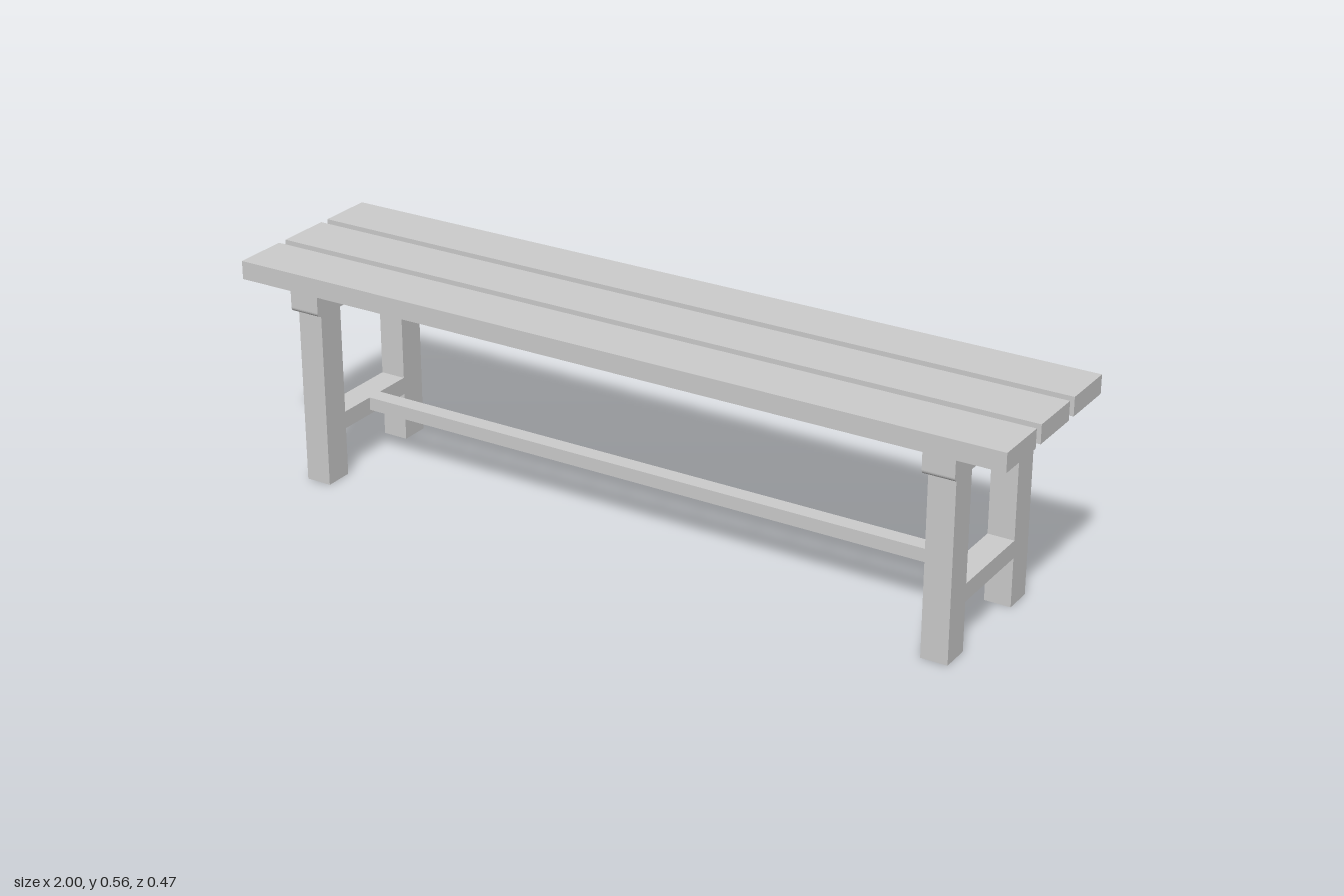
import * as THREE from 'three';

const material = new THREE.MeshStandardMaterial({ color: 0xcccccc, flatShading: true });

// Box given by its minimum and maximum on each axis
function addBox(parent, name, [x0, x1], [y0, y1], [z0, z1]) {
  const mesh = new THREE.Mesh(new THREE.BoxGeometry(x1 - x0, y1 - y0, z1 - z0), material);
  mesh.position.set((x0 + x1) / 2, (y0 + y1) / 2, (z0 + z1) / 2);
  mesh.name = name;
  parent.add(mesh);
}

// Seat bearer: rectangle with rounded lower corners, extruded along x
function bearerGeometry(halfDepth, y0, y1, radius, width) {
  const s = new THREE.Shape();
  s.moveTo(halfDepth, y1);
  s.lineTo(-halfDepth, y1);
  s.lineTo(-halfDepth, y0 + radius);
  s.absarc(-halfDepth + radius, y0 + radius, radius, Math.PI, Math.PI * 1.5, false);
  s.lineTo(halfDepth - radius, y0);
  s.absarc(halfDepth - radius, y0 + radius, radius, Math.PI * 1.5, Math.PI * 2, false);
  s.closePath();
  const g = new THREE.ExtrudeGeometry(s, { depth: width, bevelEnabled: false, curveSegments: 6 });
  return g.translate(0, 0, -width / 2).rotateY(Math.PI / 2);
}

export function createModel() {
  const bench = new THREE.Group();
  bench.name = 'bench';

  // Three seat planks
  for (const z of [-0.164, 0, 0.164]) {
    addBox(bench, 'seatPlank', [-1, 1], [0.51, 0.556], [z - 0.07, z + 0.07]);
  }

  // Two end frames: bearer, pair of legs, short stretcher
  const bearer = bearerGeometry(0.212, 0.446, 0.51, 0.012, 0.078);
  for (const side of [-1, 1]) {
    const frame = new THREE.Group();
    frame.name = side > 0 ? 'leftEndFrame' : 'rightEndFrame';
    frame.position.x = side * 0.836;
    const beam = new THREE.Mesh(bearer, material);
    beam.name = 'seatBearer';
    frame.add(beam);
    for (const z of [-0.1555, 0.1555]) {
      addBox(frame, 'leg', [-0.033, 0.033], [0, 0.446], [z - 0.0365, z + 0.0365]);
    }
    addBox(frame, 'endStretcher', [-0.033, 0.033], [0.123, 0.167], [-0.119, 0.119]);
    bench.add(frame);
  }

  // Long stretcher joining the end frames
  addBox(bench, 'longStretcher', [-0.803, 0.803], [0.134, 0.167], [-0.021, 0.021]);

  return bench;
}
